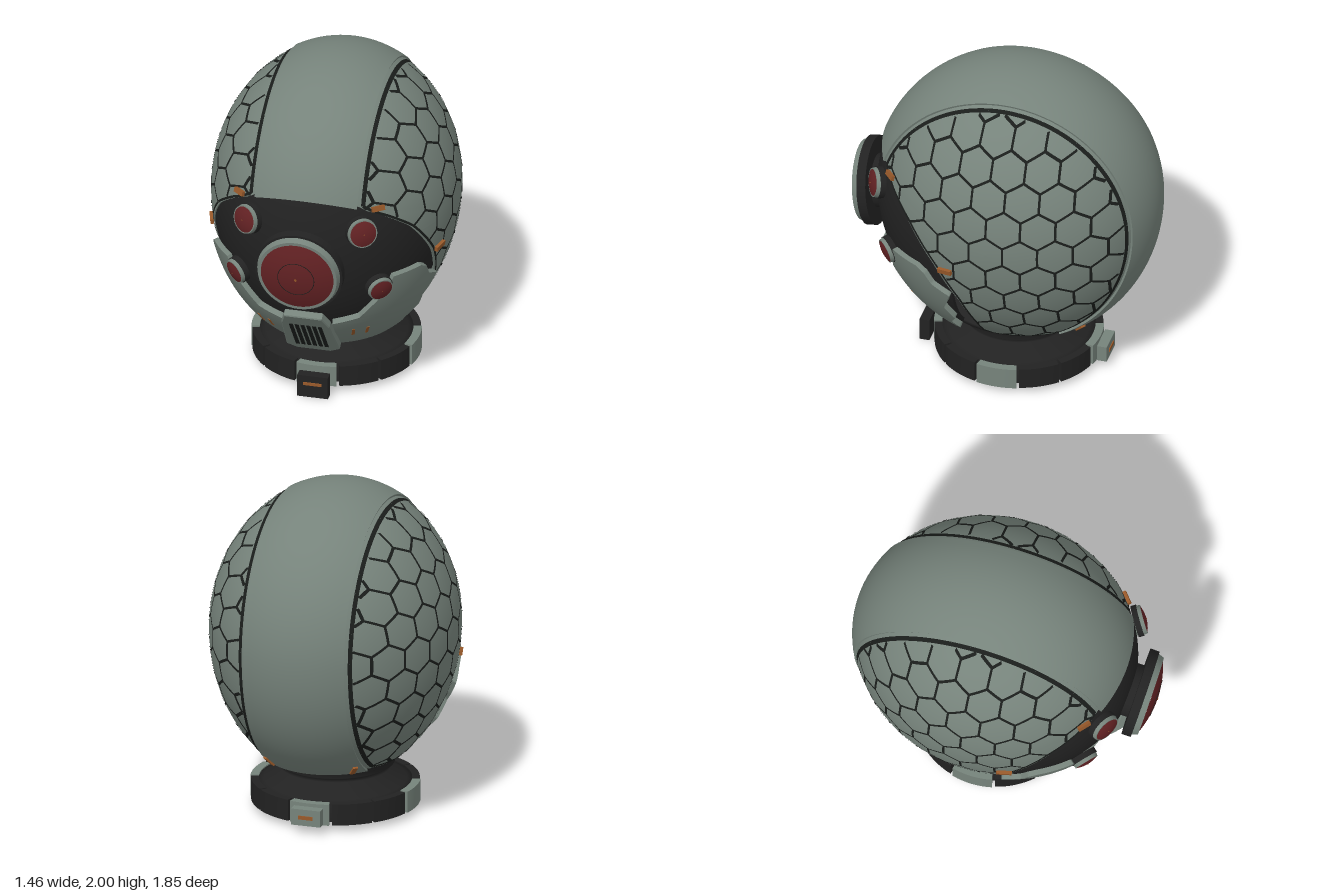
import * as THREE from 'three';
import { mergeGeometries } from 'three/addons/utils/BufferGeometryUtils.js';

const mat = (name, color, side = THREE.FrontSide) => {
  const m = new THREE.MeshStandardMaterial({ color, side });
  m.name = name;
  return m;
};
const V = (x, y, z) => new THREE.Vector3(x, y, z);

// Head ellipsoid: centre, radii (the lower half is a little longer)
const CY = 1.13, CZ = -0.07, RX = 0.74, RZ = 0.86, BOTTOM = 0.35, BAND = 0.31;
const ry = Y => (Y > 0 ? 0.87 : 0.95);
const yOf = Y => CY + ry(Y) * Y;
const head = (Z, Y, s, side = 1) =>
  V(side * RX * s * Math.sqrt(Math.max(0, 1 - Z * Z - Y * Y)), CY + ry(Y) * Y * s, CZ + RZ * Z * s);
const widthAt = y => { const Y = (y - CY) / ry(y - CY); return Math.sqrt(Math.max(0, 1 - Y * Y)); };
// Point on the head at height y and angle a from the front
const around = (a, y, s) => V(RX * widthAt(y) * Math.sin(a) * s, CY + (y - CY) * s, CZ + RZ * widthAt(y) * Math.cos(a) * s);

// Piecewise-linear lookup
const table = pts => y => {
  let i = 0;
  while (i < pts.length - 2 && y > pts[i + 1][0]) i++;
  const [a, b] = [pts[i], pts[i + 1]];
  return a[1] + (b[1] - a[1]) * (y - a[0]) / (b[0] - a[0]);
};
// Edge of the face opening: z as a function of y
const faceEdge = table([[0.2, -0.04], [0.35, 0.01], [0.5, 0.045], [0.7, 0.12], [0.95, 0.27], [1.2, 0.46], [1.35, 0.62], [1.44, 0.745], [1.6, 1.02]]);
const bisect = (lo, hi, ok) => {
  for (let i = 0; i < 30; i++) { const m = (lo + hi) / 2; if (ok(m)) lo = m; else hi = m; }
  return lo;
};
const RIM = Math.sqrt(1 - (BAND / RX) ** 2);
// Extent of a side panel along direction t, in side projection
const panelLimit = t => bisect(0, RIM, r => {
  const y = yOf(r * Math.sin(t));
  return y > BOTTOM && CZ + RZ * r * Math.cos(t) < faceEdge(y);
});

function grid(fn, nu, nv, flip) {
  const pos = [], idx = [];
  for (let i = 0; i <= nu; i++) for (let j = 0; j <= nv; j++) pos.push(...fn(i / nu, j / nv).toArray());
  for (let i = 0; i < nu; i++) for (let j = 0; j < nv; j++) {
    const a = i * (nv + 1) + j, b = a + nv + 1;
    idx.push(...(flip ? [a, b + 1, b, a, a + 1, b + 1] : [a, b, b + 1, a, b + 1, a + 1]));
  }
  const g = new THREE.BufferGeometry();
  g.setAttribute('position', new THREE.Float32BufferAttribute(pos, 3));
  g.setIndex(idx);
  g.computeVertexNormals();
  return g;
}

// Curved plate with thickness; fn(u, v, layer) with layer 1 outside and 0 inside
function slab(fn, nu, nv) {
  const o = fn(0.5, 0.5, 1), e = 0.01;
  const n = fn(0.5 + e, 0.5, 1).sub(o).cross(fn(0.5, 0.5 + e, 1).sub(o));
  const flip = n.dot(o.clone().sub(fn(0.5, 0.5, 0))) < 0;
  return mergeGeometries([
    grid((u, v) => fn(u, v, 1), nu, nv, flip),
    grid((u, t) => fn(u, 1, 1 - t), nu, 1, flip),
    grid((u, t) => fn(u, 0, 1 - t), nu, 1, !flip),
    grid((v, t) => fn(1, v, 1 - t), nv, 1, !flip),
    grid((v, t) => fn(0, v, 1 - t), nv, 1, flip),
    grid((u, v) => fn(u, v, 0), nu, nv, !flip),
  ], true);
}

// Thin strips laid on a side panel; each segment is a pair of points in the unit disc
function ribbons(segments, side, half) {
  const pos = [];
  for (const [p, q] of segments) {
    const d = q.clone().sub(p).normalize().multiplyScalar(half / RZ);
    const n = new THREE.Vector2(-d.y, d.x);
    const c = [p.clone().add(n), p.clone().sub(n), q.clone().sub(n), q.clone().add(n)].map(k => head(k.x, k.y, 0.989, side));
    const order = side > 0 ? [0, 2, 1, 0, 3, 2] : [0, 1, 2, 0, 2, 3];
    for (const i of order) pos.push(...c[i].toArray());
  }
  const g = new THREE.BufferGeometry();
  g.setAttribute('position', new THREE.Float32BufferAttribute(pos, 3));
  g.computeVertexNormals();
  return g;
}

function grooveSegments() {
  const out = [], pitch = 0.207, s = pitch / Math.sqrt(3), K = 1.19;
  const toDisc = (a, b) => {
    const q = Math.hypot(a, b) || 1e-6, r = K * Math.sin(q / K) / q;
    return new THREE.Vector2(a * r / RZ, b * r / ry(b));
  };
  const inside = p => p.length() < panelLimit(Math.atan2(p.y, p.x)) - 0.025;
  for (let row = -7; row <= 7; row++) for (let col = -7; col <= 7; col++) {
    const cx = (col + (row & 1 ? 0.5 : 0)) * pitch, cy = row * s * 1.5;
    for (let k = 0; k < 3; k++) {
      const at = t => {
        const a = Math.PI / 6 + k * Math.PI / 3, b = a + Math.PI / 3;
        return toDisc(cx + s * (Math.cos(a) * (1 - t) + Math.cos(b) * t), cy + s * (Math.sin(a) * (1 - t) + Math.sin(b) * t));
      };
      for (let i = 0; i < 6; i++) {
        const p = at(i / 6), q = at((i + 1) / 6);
        if (inside(p) && inside(q)) out.push([p, q]);
      }
    }
  }
  // Border line just inside the panel rim
  const rim = i => {
    const t = i / 160 * Math.PI * 2, r = panelLimit(t) - 0.022;
    return new THREE.Vector2(r * Math.cos(t), r * Math.sin(t));
  };
  for (let i = 0; i < 160; i++) out.push([rim(i), rim(i + 1)]);
  return out;
}

export function createModel() {
  const root = new THREE.Group();
  const green = mat('greyGreen', 0x76837b), dark = mat('charcoal', 0x222222), red = mat('lensRed', 0x642224);
  const orange = mat('orange', 0x98592a), line = mat('grooveBlack', 0x1a1d1b, THREE.DoubleSide), tube = mat('neckBlack', 0x222222, THREE.DoubleSide);
  const add = (name, geo, m, parent = root) => {
    const mesh = new THREE.Mesh(geo, m);
    mesh.name = name;
    parent.add(mesh);
    return mesh;
  };
  const plate = (name, fn, nu, nv, m) => add(name, slab(fn, nu, nv), [m, m, m, m, m, dark]);

  // Central band over the crown
  plate('crownBand', (u, v, l) => {
    const x = (v * 2 - 1) * BAND, R = Math.sqrt(1 - (x / RX) ** 2);
    const start = -bisect(-1.2, 0.2, k => CZ + RZ * R * Math.cos(k) < faceEdge(yOf(-R * Math.sin(k))));
    const end = Math.PI + Math.asin((CY - BOTTOM) / 0.95 / R);
    const t = start + (end - start) * u;
    return head(R * Math.cos(t), R * Math.sin(t), l ? 1 : 0.955, x < 0 ? -1 : 1);
  }, 80, 16, green);

  // Side panels with honeycomb grooves
  const segments = grooveSegments();
  for (const side of [1, -1]) {
    const name = side > 0 ? 'left' : 'right';
    plate(name + 'SidePanel', (u, v, l) => {
      const t = u * Math.PI * 2, r = v * panelLimit(t);
      return head(r * Math.cos(t), r * Math.sin(t), l ? 0.985 : 0.955, side);
    }, 160, 24, green);
    add(name + 'HoneycombGrooves', ribbons(segments, side, 0.007), line);
  }

  // Dark face behind the lenses
  plate('faceVisor', (u, v, l) => {
    const y = 0.36 + 1.1 * v, g = Math.max(faceEdge(y) - 0.04, 0.17);
    const a = Math.acos(Math.min(1, (g - CZ) / (RZ * widthAt(y))));
    return around((u * 2 - 1) * a, y, l ? 0.975 : 0.95);
  }, 48, 40, dark);

  // Cheek guards
  const inner = table([[0.35, 18], [0.59, 14], [0.63, 28], [0.81, 40], [0.91, 43]]);
  const outer = table([[0.35, 52], [0.4, 66], [0.46, 64], [0.53, 70], [0.63, 67], [0.68, 70], [0.76, 73], [0.81, 65], [0.88, 62], [0.91, 58]]);
  for (const side of [1, -1]) plate('cheekGuard', (u, v, l) => {
    const y = 0.35 + 0.56 * v, a = inner(y) + (outer(y) - inner(y)) * u;
    return around(side * a * Math.PI / 180, y, l ? 1.025 : 0.985);
  }, 16, 56, green);

  // Mouth grille
  const grille = new THREE.Group();
  grille.name = 'mouthGrille';
  grille.position.set(0, 0.505, 0.575);
  grille.rotation.x = 0.657;
  root.add(grille);
  const outline = new THREE.Shape([[-0.1, -0.22], [0.1, -0.22], [0.155, -0.18], [0.14, 0.12], [0.11, 0.22], [-0.11, 0.22], [-0.14, 0.12], [-0.155, -0.18]].map(p => new THREE.Vector2(...p)));
  add('grilleFrame', new THREE.ExtrudeGeometry(outline, { depth: 0.035, bevelSize: 0.006, bevelThickness: 0.006, bevelSegments: 1 }), green, grille);
  for (let i = 0; i < 6; i++)
    add('grilleSlot', new THREE.BoxGeometry(0.023, 0.28, 0.008), line, grille).position.set((i - 2.5) * 0.035, -0.02, 0.041);

  // Surface point and normal at a given x, y; back = -1 for the rear
  const onHead = (x, y, back = 1) => {
    const Y = (y - CY) / ry(y - CY), Z = back * Math.sqrt(Math.max(0, 1 - Y * Y - (x / RX) ** 2));
    return [V(x, y, CZ + RZ * Z), V(x / RX ** 2, (y - CY) / ry(y - CY) ** 2, Z / RZ).normalize()];
  };

  // Lenses: dark housing, trim ring and red dome
  const lathe = pts => new THREE.LatheGeometry(pts.map(p => new THREE.Vector2(...p)), 48);
  function lens(name, pos, normal, r, depth, ringMat) {
    const g = new THREE.Group();
    g.name = name;
    g.position.copy(pos);
    g.quaternion.setFromUnitVectors(V(0, 1, 0), normal.clone().normalize());
    root.add(g);
    add('lensHousing', new THREE.CylinderGeometry(r, r, depth, 48), dark, g).position.y = depth / 2;
    const ring = add('lensRing', new THREE.CylinderGeometry(r * 0.9, r * 0.95, depth * 0.7, 48), ringMat, g);
    ring.position.y = depth * 1.3;
    const dome = [];
    for (let i = 0; i <= 10; i++) dome.push([r * 0.83 * (1 - i / 10), r * 0.16 * (1 - (1 - i / 10) ** 2)]);
    add('lensDome', lathe(dome), red, g).position.y = depth * 1.66;
    const tip = add('lensTip', new THREE.CylinderGeometry(r * 0.03, r * 0.03, 0.006, 12), orange, g);
    tip.position.y = depth * 1.66 + r * 0.16;
    return g;
  }
  const main = lens('mainLens', V(0, 1.02, 0.785), V(0, -0.13, 1), 0.265, 0.055, green);
  const mark = add('lensMark', new THREE.TorusGeometry(0.11, 0.002, 6, 48), line, main);
  mark.rotation.x = Math.PI / 2;
  mark.position.y = 0.124;
  add('lensMount', new THREE.CylinderGeometry(0.16, 0.16, 0.08, 32), dark, main).position.y = -0.03;
  for (const side of [1, -1]) for (const [name, x, y, r] of [['upperLens', 0.34, 1.25, 0.095], ['lowerLens', 0.42, 0.85, 0.082]]) {
    const [p, n] = onHead(side * x, y);
    lens(name, p.addScaledVector(n, -0.015), n, r, 0.034, green);
  }

  // Orange tabs on shell and cheeks
  function tab(name, x, y, back, lift, w, h, roll) {
    const [p, n] = onHead(x, y, back);
    const m = add(name, new THREE.BoxGeometry(w, h, 0.02), orange);
    m.position.copy(p).addScaledVector(n, lift);
    m.lookAt(m.position.clone().add(n));
    m.rotateZ(roll);
  }
  for (const s of [1, -1]) {
    tab('browTab', s * 0.42, 1.37, 1, 0, 0.08, 0.03, 0);
    tab('sideTab', s * 0.69, 0.94, 1, 0, 0.09, 0.03, s * 0.1);
    tab('rearTab', s * 0.26, 0.39, -1, 0, 0.03, 0.08, 0);
    tab('cheekMark', s * 0.24, 0.49, 1, 0.014, 0.018, 0.08, s * 0.15);
    tab('cheekMark', s * 0.31, 0.49, 1, 0.014, 0.018, 0.08, s * 0.15);
  }

  // Neck bellows and collar
  const base = new THREE.Group();
  base.name = 'neckBase';
  base.position.z = CZ;
  root.add(base);
  add('neckBellows', lathe([[0.46, 0.05], [0.46, 0.16], [0.42, 0.17], [0.33, 0.25], [0.32, 0.265], [0.35, 0.28], [0.325, 0.295], [0.36, 0.31], [0.335, 0.325], [0.37, 0.34], [0.35, 0.37]]), tube, base);
  add('headCollar', lathe([[0.33, 0.35], [0.405, 0.352], [0.4, 0.37], [0.33, 0.39]]), tube, base).scale.z = 1.16;

  // Base ring of twelve blocks, green at the four quarters
  for (let i = 0; i < 12; i++) {
    const m = i % 3 ? dark : green, a0 = i * Math.PI / 6, rOut = i % 3 ? 0.495 : 0.5;
    add('baseBlock', slab((u, v, l) => {
      const a = a0 + (u - 0.5) * 0.49, r = l ? rOut : 0.45;
      return V(r * Math.sin(a), 0.04 + 0.13 * v, r * Math.cos(a));
    }, 8, 1), m, base);
  }

  // Front and rear latches
  const box = (name, w, h, d, x, y, z, m) => add(name, new THREE.BoxGeometry(w, h, d), m).position.set(x, y, z);
  box('frontLatch', 0.185, 0.14, 0.06, 0, 0.07, 0.48, dark);
  box('frontLatchMark', 0.11, 0.018, 0.008, 0, 0.088, 0.512, orange);
  box('rearLatch', 0.18, 0.1, 0.06, 0, 0.1, -0.6, green);
  box('rearLatchMark', 0.09, 0.022, 0.008, 0, 0.1, -0.632, orange);
  return root;
}
